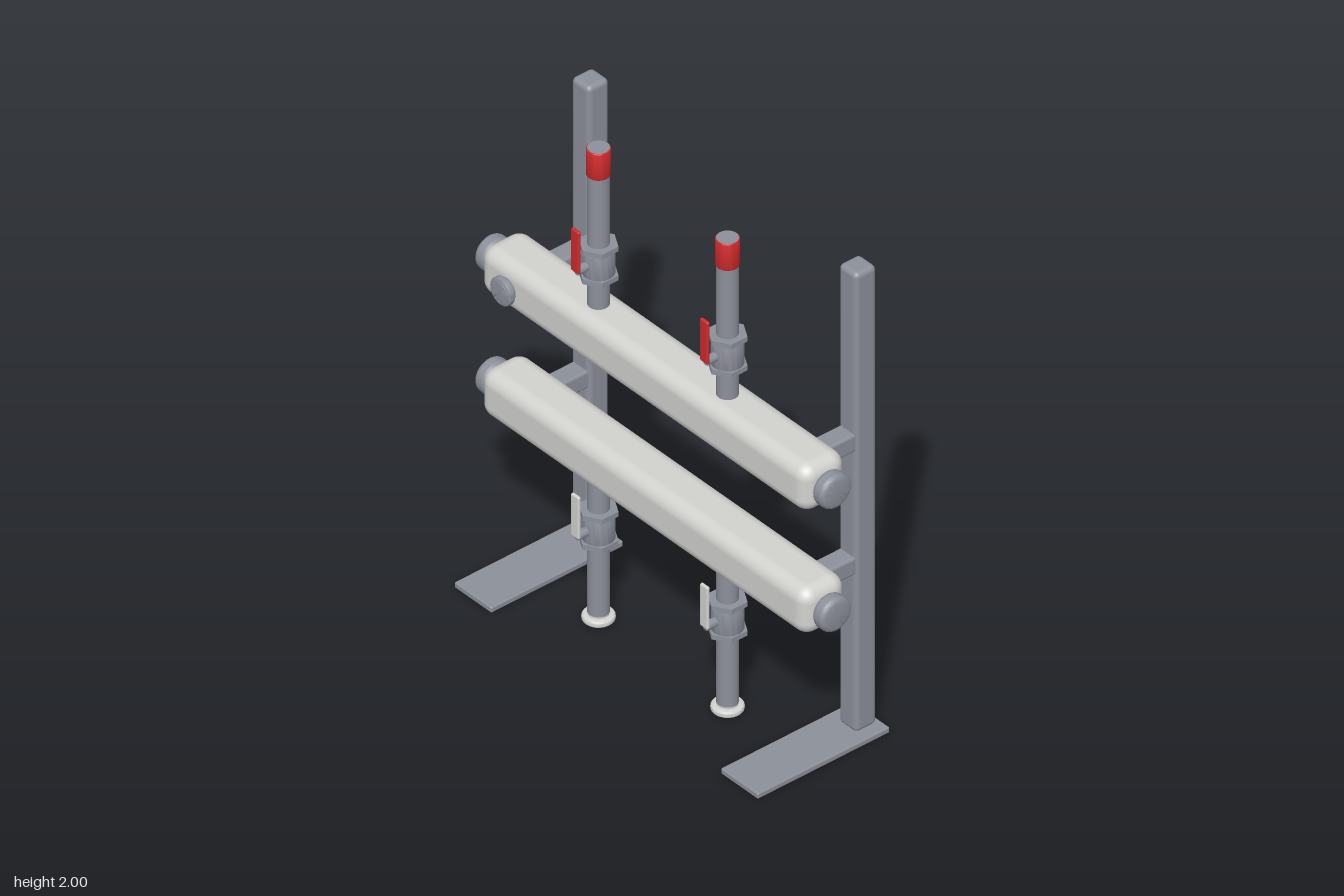
import * as THREE from 'three';
import { RoundedBoxGeometry } from 'three/addons/geometries/RoundedBoxGeometry.js';
import { toCreasedNormals } from 'three/addons/utils/BufferGeometryUtils.js';

const material = (name, color) => {
  const m = new THREE.MeshStandardMaterial({ color });
  m.name = name;
  return m;
};

export function createModel() {
  const steel = material('steel grey', 0x8c909a);
  const light = material('light grey', 0xd2d2cf);
  const red = material('red', 0xcf2a2c);
  const model = new THREE.Group();
  model.name = 'pipeManifoldStand';
  const pipeZ = 0.04;

  const add = (parent, name, geometry, mat, x, y, z) => {
    const mesh = new THREE.Mesh(geometry, mat);
    mesh.name = name;
    mesh.position.set(x, y, z);
    parent.add(mesh);
    return mesh;
  };
  const box = (w, h, d, r) => new RoundedBoxGeometry(w, h, d, 4, r);
  const cylinder = (r, h, n = 32) => new THREE.CylinderGeometry(r, r, h, n);

  // Disc with rounded rims, centred on its axis
  const disc = (r, h, b) => {
    const pts = [new THREE.Vector2(0, -h / 2)];
    for (const end of [-1, 1]) {
      for (let i = 0; i <= 4; i++) {
        const a = (end < 0 ? i - 4 : i) * Math.PI / 8;
        pts.push(new THREE.Vector2(r - b + b * Math.cos(a), end * (h / 2 - b) + b * Math.sin(a)));
      }
    }
    pts.push(new THREE.Vector2(0, h / 2));
    return toCreasedNormals(new THREE.LatheGeometry(pts, 36), 0.6);
  };

  // Stands: foot plate, post and two brackets on each side
  for (const side of [-1, 1]) {
    const stand = new THREE.Group();
    stand.name = side > 0 ? 'leftStand' : 'rightStand';
    model.add(stand);
    add(stand, 'footPlate', box(0.195, 0.024, 0.59, 0.006), steel, side * 0.698, 0.014, 0);
    add(stand, 'post', box(0.095, 1.94, 0.095, 0.02), steel, side * 0.7, 0.99, -0.232);
    for (const y of [1.245, 0.725]) {
      add(stand, 'bracket', box(0.08, 0.075, 0.18, 0.012), steel, side * 0.7, y, -0.12);
    }
  }

  // Two horizontal headers with end caps
  for (const [name, y] of [['upperHeader', 1.243], ['lowerHeader', 0.723]]) {
    const header = new THREE.Group();
    header.name = name;
    model.add(header);
    add(header, 'body', box(1.715, 0.194, 0.194, 0.055), light, 0, y, pipeZ);
    for (const side of [-1, 1]) {
      add(header, 'endCap', disc(0.069, 0.06, 0.02), steel, side * 0.885, y, pipeZ).rotation.z = Math.PI / 2;
      add(header, 'endNeck', cylinder(0.045, 0.06), steel, side * 0.85, y, pipeZ).rotation.z = Math.PI / 2;
    }
  }

  // Round plug on the front of the upper header
  add(model, 'plugNeck', cylinder(0.042, 0.06), steel, -0.7, 1.245, 0.146).rotation.x = Math.PI / 2;
  add(model, 'plug', disc(0.055, 0.027, 0.008), steel, -0.7, 1.245, 0.159).rotation.x = Math.PI / 2;
  add(model, 'plugFace', disc(0.042, 0.006, 0.002), steel, -0.7, 1.245, 0.173).rotation.x = Math.PI / 2;

  // Ball valve with hexagonal collars, stem and lever
  const addValve = (parent, x, y, leverMaterial) => {
    const valve = new THREE.Group();
    valve.name = 'valve';
    valve.position.set(x, y, pipeZ);
    parent.add(valve);
    add(valve, 'valveBody', disc(0.058, 0.12, 0.008), steel, 0, 0, 0);
    for (const s of [-1, 1]) {
      add(valve, 'hexCollar', toCreasedNormals(cylinder(0.072, 0.02, 6), 0.5), steel, 0, s * 0.061, 0);
    }
    add(valve, 'stem', cylinder(0.017, 0.06), steel, 0, -0.003, 0.068).rotation.x = Math.PI / 2;
    add(valve, 'lever', box(0.042, 0.178, 0.014, 0.0065), leverMaterial, 0, 0.084, 0.101);
  };

  // Vertical branch pipes above and below the headers
  for (const side of [-1, 1]) {
    const x = side * 0.338;
    const upper = new THREE.Group();
    upper.name = 'upperBranch';
    add(upper, 'pipe', cylinder(0.039, 0.7), steel, x, 1.65, pipeZ);
    add(upper, 'redSleeve', disc(0.043, 0.112, 0.004), red, x, 1.943, pipeZ);
    addValve(upper, x, 1.526, red);

    const lower = new THREE.Group();
    lower.name = 'lowerBranch';
    add(lower, 'pipe', cylinder(0.039, 0.63), steel, x, 0.355, pipeZ);
    add(lower, 'pipeEnd', cylinder(0.037, 0.025), light, x, 0.035, pipeZ);
    add(lower, 'endFlange', disc(0.059, 0.025, 0.01), light, x, 0.018, pipeZ);
    addValve(lower, x, 0.405, light);
    model.add(upper, lower);
  }
  return model;
}
